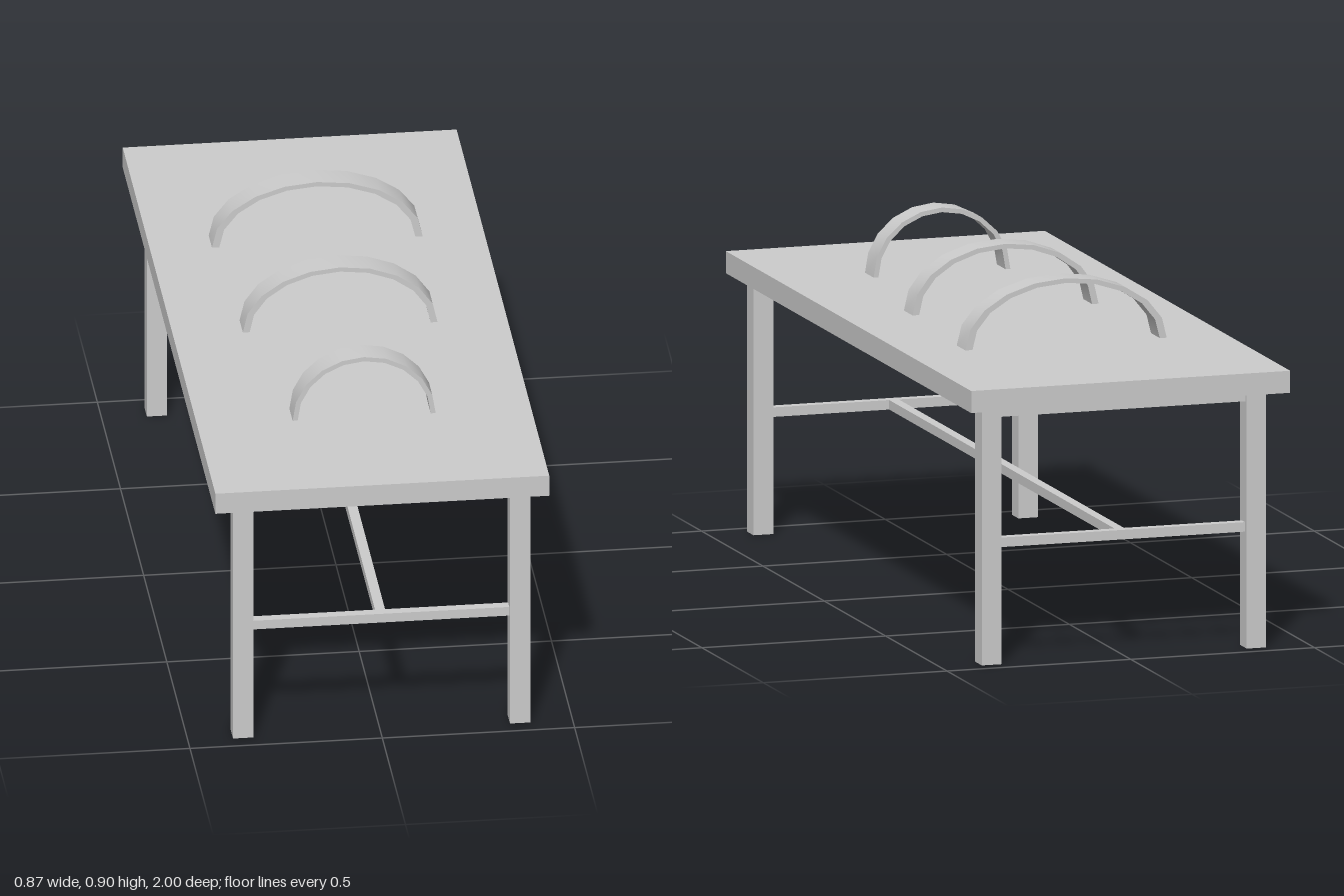
import * as THREE from 'three';
import { toCreasedNormals } from 'three/addons/utils/BufferGeometryUtils.js';

const grey = new THREE.MeshStandardMaterial({ color: 0xcccccc });

// Box given by its lower and upper bounds on each axis
function box(name, [x0, x1], [y0, y1], [z0, z1]) {
  const mesh = new THREE.Mesh(new THREE.BoxGeometry(x1 - x0, y1 - y0, z1 - z0), grey);
  mesh.name = name;
  mesh.position.set((x0 + x1) / 2, (y0 + y1) / 2, (z0 + z1) / 2);
  return mesh;
}

// Half-elliptical strap standing on the table top
function arch(halfWidth, height, depth) {
  const segments = 10, inner = 0.93;
  const points = [];
  for (let i = 0; i <= segments; i++) {
    const a = (i / segments) * Math.PI;
    points.push(new THREE.Vector2(Math.cos(a) * halfWidth, Math.sin(a) * height));
  }
  for (let i = segments; i >= 0; i--) {
    const a = (i / segments) * Math.PI;
    points.push(new THREE.Vector2(Math.cos(a) * halfWidth * inner, Math.sin(a) * height * inner));
  }
  const geometry = new THREE.ExtrudeGeometry(new THREE.Shape(points), { depth, bevelEnabled: false });
  geometry.translate(0, 0, -depth / 2);
  return new THREE.Mesh(toCreasedNormals(geometry, 0.7), grey);
}

export function createModel() {
  const model = new THREE.Group();
  model.name = 'restraintTable';

  // Table top and the thin panel beneath it
  const topY = 0.732, slabY = 0.674;
  model.add(box('tableTop', [-0.434, 0.434], [slabY, topY], [-1, 1]));
  model.add(box('underPanel', [-0.373, 0.381], [0.648, slabY], [-0.945, 0.945]));

  // Legs
  const legX = { right: [-0.383, -0.33], left: [0.337, 0.391] };
  const legZ = { front: [0.903, 0.957], back: [-0.957, -0.903] };
  for (const [end, z] of Object.entries(legZ)) {
    for (const [side, x] of Object.entries(legX)) {
      model.add(box(`${end}${side}Leg`, x, [0, slabY], z));
    }
    // Cross stretcher joining the two legs at this end
    const mid = (z[0] + z[1]) / 2;
    model.add(box(`${end}Stretcher`, [-0.33, 0.337], [0.305, 0.33], [mid - 0.013, mid + 0.013]));
  }

  // Long stretcher along the middle
  model.add(box('longStretcher', [-0.009, 0.017], [0.305, 0.33], [-0.917, 0.917]));

  // Straps, widest at the back
  const straps = [['backStrap', 0.274, -0.438], ['middleStrap', 0.253, 0.055], ['frontStrap', 0.186, 0.573]];
  for (const [name, halfWidth, z] of straps) {
    const strap = arch(halfWidth, 0.173, 0.071);
    strap.name = name;
    strap.position.set(0, topY, z);
    model.add(strap);
  }
  return model;
}
